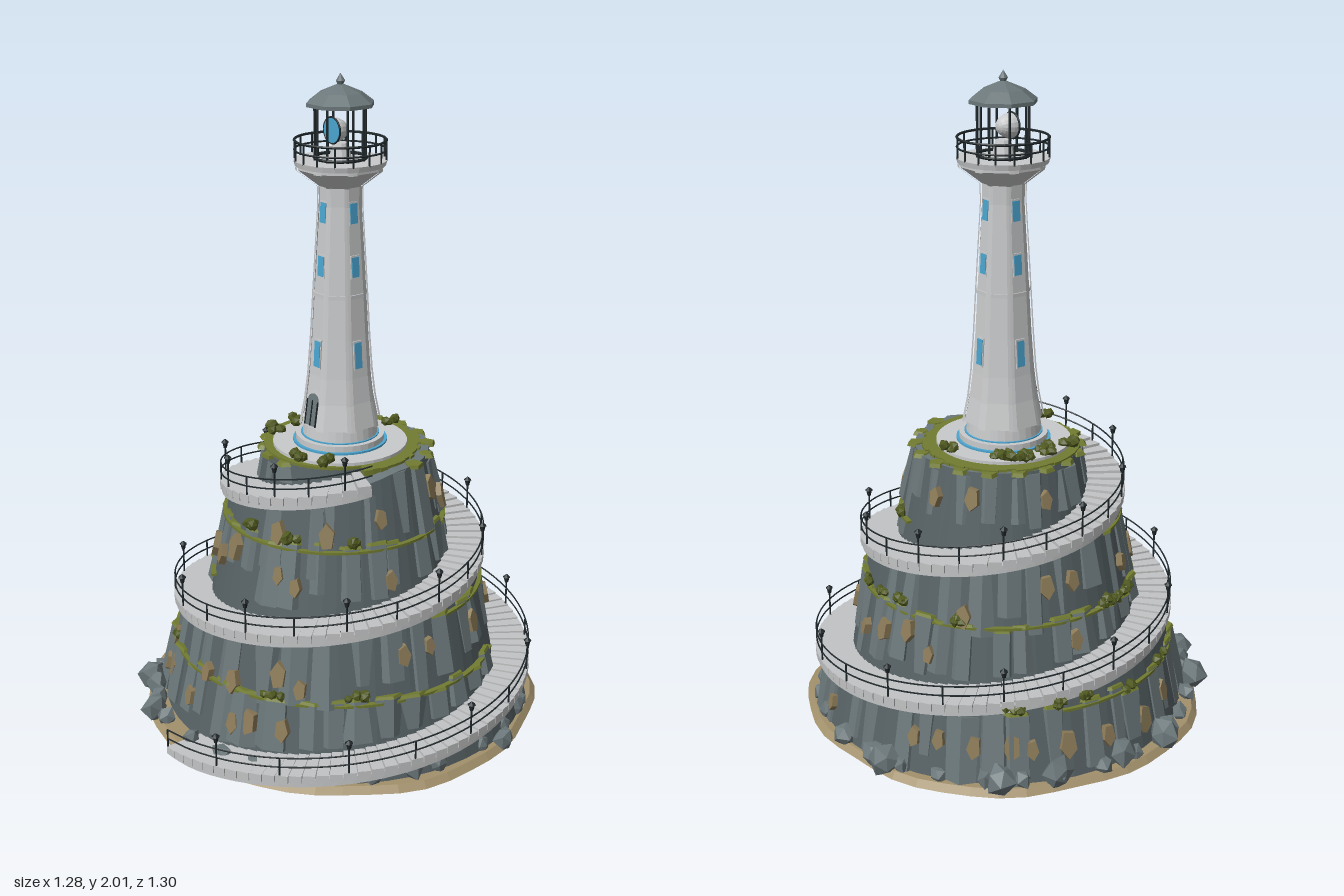
import * as THREE from 'three';
import { mergeGeometries } from 'three/addons/utils/BufferGeometryUtils.js';

const TAU = Math.PI * 2, END = 2.19, TOP = 0.86;
let seed = 7;
const rnd = (a = 0, b = 1) => {
  seed = (seed * 16807) % 2147483647;
  return a + (b - a) * seed / 2147483647;
};
const material = (name, color, side = THREE.FrontSide) => {
  const m = new THREE.MeshStandardMaterial({ color, side });
  m.name = name;
  return m;
};

// Spiral rule: t counts turns, starting at the front and going towards +x
const outer = t => 0.67 - 0.155 * t;
const inner = t => Math.min(0.6, outer(t) - 0.115);
const height = t => 0.03 + 0.375 * t;
const wall = (t, y) => inner(t) - 0.21 * (y - Math.max(0, height(t)));
const at = (t, r, y) => new THREE.Vector3(Math.sin(t * TAU) * r, y, Math.cos(t * TAU) * r);
const val = (f, t) => typeof f === 'function' ? f(t) : f;

// Box bent round the axis; radii and heights are numbers or functions of t
function slab(t0, t1, seg, r0, r1, y0, y1) {
  const g = new THREE.BoxGeometry(1, 1, 1, seg, 1, 1), p = g.attributes.position;
  for (let i = 0; i < p.count; i++) {
    const t = t0 + (t1 - t0) * (p.getX(i) + 0.5);
    const v = at(t, val(p.getZ(i) > 0 ? r1 : r0, t), val(p.getY(i) > 0 ? y1 : y0, t));
    p.setXYZ(i, v.x, v.y, v.z);
  }
  return g;
}
const move = (g, v) => g.translate(v.x, v.y, v.z);
const cyl = (rt, rb, h, n, y) => new THREE.CylinderGeometry(rt, rb, h, n).translate(0, y, 0);
const soup = list => new THREE.BufferGeometry().setAttribute('position', new THREE.Float32BufferAttribute(list, 3));

// Faceted lump with shared corners pushed in and out
function lump(r, squash = 1) {
  const g = new THREE.IcosahedronGeometry(r, 0), p = g.attributes.position, s = rnd(0, 9);
  for (let i = 0; i < p.count; i++) {
    const x = p.getX(i), y = p.getY(i), z = p.getZ(i);
    const k = 1 + 0.18 * Math.sin((x * 5 + y * 7 + z * 11) / r + s);
    p.setXYZ(i, x * k, y * k * squash, z * k);
  }
  return g.rotateY(s);
}

export function createModel() {
  seed = 7;
  const model = new THREE.Group(), island = new THREE.Group();
  island.name = 'lighthouseIsland';
  island.position.z = -0.025;
  model.add(island);

  const white = material('wall', 0xc9cacb, THREE.DoubleSide), stone = material('stair stone', 0xc2c3c4);
  const rock = material('rock', 0x6b777a), darkRock = material('dark rock', 0x576265, THREE.DoubleSide);
  const grass = material('grass', 0x727c30), bush = material('bush', 0x515a20);
  const tan = material('tan stone', 0x8c7b58), sand = material('sand', 0xa3916c);
  const iron = material('iron', 0x20282b), glass = material('blue glass', 0x4ba5d0);

  const add = (name, mat, ...geos) => {
    const g = mergeGeometries(geos.flat().map(q => {
      const n = q.index ? q.toNonIndexed() : q;
      n.deleteAttribute('uv');
      n.computeVertexNormals();
      n.clearGroups();
      return n;
    }));
    const mesh = new THREE.Mesh(g, mat);
    mesh.name = name;
    island.add(mesh);
  };

  // Sand base
  const base = new THREE.CylinderGeometry(0.615, 0.632, 0.02, 48).translate(0, 0.01, 0);
  const bp = base.attributes.position;
  for (let i = 0; i < bp.count; i++) {
    const a = Math.atan2(bp.getX(i), bp.getZ(i)), k = 1 + 0.012 * Math.sin(a * 5 + 1) + 0.008 * Math.sin(a * 11);
    bp.setX(i, bp.getX(i) * k);
    bp.setZ(i, bp.getZ(i) * k);
  }
  add('sandBase', sand, base);

  // Spiral cliff wall and its top
  const cliff = [], cap = [], N = 176;
  const tri = (list, ...pts) => pts.forEach(q => list.push(q.x, q.y, q.z));
  const edge = k => {
    const t = -1 + (END + 1) * k / N;
    const lo = Math.max(0, height(t) - 0.03), hi = Math.min(TOP, Math.max(lo, height(t + 1) - 0.01));
    return [at(t, inner(t), lo), at(t, wall(t, hi), hi), t];
  };
  for (let i = 0; i < N; i++) {
    const [a, d, t] = edge(i), [b, c] = edge(i + 1);
    tri(cliff, a, b, c, a, c, d);
    if (t > END - 1.02) tri(cap, new THREE.Vector3(0, TOP, 0), d, c);
  }
  add('cliffWall', darkRock, soup(cliff));
  add('cliffTop', rock, soup(cap));

  // Rock shards leaning on the cliff, grassy ledges, tan stone and ledge bushes
  const shards = [], turf = [], tans = [], bushes = [];
  [0.23, 0.44, 0.65, TOP].forEach((level, tier) => {
    const count = 36 - tier * 5;
    for (let i = 0; i < count; i++) {
      const th = (i + rnd(-0.3, 0.3)) / count;
      let t = th - 1;
      while (t + 1 < END && height(t + 1) < level - 0.07) t++;
      const roof = t + 1 < END ? height(t + 1) - 0.045 : TOP;
      const top = Math.min(level + (tier < 3 ? rnd(-0.02, 0.015) : -rnd(0, 0.025)), roof);
      const floor = Math.max(0, height(t) + 0.015);
      const h = Math.min(top - floor, rnd(0.12, 0.23));
      if (h < 0.04) continue;
      const w = rnd(0.042, 0.06) * (1 - tier * 0.07), turn = rnd(0, TAU);
      const place = (g, y, out) => move(g.scale(1, 1, 0.65).rotateX(-0.21).rotateY(t * TAU), at(t, wall(t, y) + out, y));
      shards.push(place(new THREE.CylinderGeometry(w * rnd(0.7, 0.95), w * rnd(0.5, 1.05), h, 5).rotateY(turn), top - h / 2, -0.012));
      if (tier < 3 && top < roof - 0.01) {
        turf.push(place(new THREE.CylinderGeometry(w * 0.8, w * 0.9, 0.009, 5).rotateY(turn), top + 0.004, -0.01));
        if (rnd() < 0.28) for (let k = 0; k < 4; k++)
          bushes.push(move(lump(rnd(0.013, 0.02)), at(t + rnd(-0.01, 0.01), wall(t, top) + 0.005, top + rnd(0.012, 0.028))));
      }
      // tan slabs set flush into the cliff face
      if (rnd() < 0.6) {
        const y = top - rnd(0.06, 0.13), s = rnd(0.018, 0.03), tt = t + rnd(0.25, 0.5) / count;
        if (y - s * 1.6 > floor) {
          const plate = new THREE.CylinderGeometry(s * 0.9, s, 0.04, 5).rotateX(Math.PI / 2).rotateZ(rnd(0, TAU));
          tans.push(move(plate.scale(1, 1.7, 1).rotateX(-0.21).rotateY(tt * TAU), at(tt, wall(tt, y) - 0.003, y)));
        }
      }
    }
    // continuous turf strips along each ledge
    if (tier < 3) for (let i = 0; i < 60; i++) {
      let t = i / 60 - 1;
      while (height(t + 1) < level - 0.07) t++;
      if (height(t + 1) - 0.06 > level)
        turf.push(slab(t, t + 1 / 60, 1, q => wall(q, level) - 0.02, q => wall(q, level) + 0.012, level - 0.008, level));
    }
  });
  add('rockShards', rock, shards);
  add('tanStones', tan, tans);

  // Boulders round the shore: large ones at set places, small ones between
  const boulders = [];
  for (const [x, z, s] of [[-0.2, -0.585, 0.045], [-0.15, -0.59, 0.04], [0, -0.6, 0.036], [-0.49, -0.37, 0.046], [-0.56, -0.21, 0.044],
    [-0.59, 0.01, 0.046], [-0.585, 0.177, 0.046], [-0.37, 0.487, 0.046], [-0.2, 0.585, 0.042], [0.605, -0.163, 0.034]])
    boulders.push(lump(s, 1.15).translate(x, s * 1.05, z));
  for (let i = 0; i < 30; i++) {
    const t = (i + rnd(-0.3, 0.3)) / 30, s = rnd(0.024, 0.036);
    boulders.push(move(lump(s, 1.2), at(t, t < 0.5 ? 0.585 : 0.595, s * 1.2)));
  }
  add('boulders', rock, boulders);

  // Plateau turf, paving and bushes
  for (let i = 0; i < 60; i++) {
    const t = END - 1 + i / 60, r = 0.247 + rnd(-0.008, 0.01);
    turf.push(slab(t, t + 1 / 60, 1, 0.19, q => Math.min(r, wall(q, TOP)), TOP - 0.01, TOP + 0.008));
  }
  for (let i = 0; i < 14; i++) {
    const t = END - 0.9 + i / 18;
    turf.push(move(cyl(rnd(0.018, 0.03), 0.03, 0.012, 5, 0).rotateY(rnd(0, TAU)), at(t, wall(t, TOP) - 0.004, TOP - 0.002)));
  }
  add('grass', grass, turf);
  for (const [x, z] of [[-0.01, -0.2], [-0.16, -0.11], [-0.135, -0.11], [-0.2, -0.05], [-0.2, 0.03], [-0.17, 0.03], [-0.175, 0.115], [0.055, 0.195], [0.13, 0.165], [-0.19, -0.07]])
    for (let k = 0; k < 4; k++)
      bushes.push(lump(rnd(0.013, 0.02)).translate(x + rnd(-0.018, 0.018), 0.88 + rnd(0, 0.018), z + rnd(-0.018, 0.018)));
  add('bushes', bush, bushes);
  add('paving', white, cyl(0.208, 0.208, 0.025, 40, 0.865));
  add('blueTrim', glass, cyl(0.146, 0.146, 0.006, 32, 0.881), cyl(0.121, 0.121, 0.005, 32, 0.903));
  add('plinth', white, cyl(0.137, 0.137, 0.02, 32, 0.892), cyl(0.112, 0.116, 0.04, 32, 0.922));

  // Spiral stair: treads of equal length on a ramp
  const steps = 165, treads = [];
  const along = k => (0.6125 - Math.sqrt(0.37516 - 0.31 * 0.9697 * k / steps)) / 0.155;
  for (let i = 0; i < steps; i++) {
    const t1 = along(i + 0.93), y = height(t1);
    treads.push(slab(along(i), t1, 1, q => inner(q) - 0.012, outer, Math.max(0.004, y - 0.024), y));
  }
  add('stairTreads', stone, treads);
  add('stairRamp', stone, slab(0, END, 200, q => inner(q) - 0.03, q => outer(q) - 0.006,
    q => Math.max(0.002, height(q) - 0.038), q => height(q) - 0.014));

  // Stair railing with lantern posts
  const rails = [0.03, 0.06].map(up => {
    const pts = Array.from({ length: 90 }, (_, i) => END * i / 89).map(t => at(t, outer(t) - 0.004, height(t) + up));
    return new THREE.TubeGeometry(new THREE.CatmullRomCurve3(pts), 260, 0.0025, 5);
  });
  const posts = [];
  for (let i = 0; i <= 43; i++) {
    const t = i * 0.05, p = at(t, outer(t) - 0.004, height(t)), lamp = i % 2 === 1;
    const h = lamp ? 0.085 : 0.06;
    posts.push(move(cyl(0.003, 0.003, h, 5, h / 2), p));
    if (lamp) posts.push(move(cyl(0.01, 0.006, 0.018, 6, 0.092), p), move(cyl(0.002, 0.013, 0.01, 6, 0.106), p));
  }
  add('stairRailing', iron, rails, posts);

  // Eight-sided tower with corner ribs
  const profile = [[0.122, 0.94], [0.106, 1.02], [0.096, 1.1], [0.087, 1.22], [0.079, 1.36], [0.063, 1.62], [0.064, 1.675], [0.128, 1.725], [0.128, 1.735]];
  const lathe = (pts, grow, n, from, len) => new THREE.LatheGeometry(pts.map(([r, y]) => new THREE.Vector2(r + grow, y)), n, from, len);
  add('tower', white, lathe(profile, 0, 8, Math.PI / 8, TAU), cyl(0.084, 0.084, 0.012, 8, 1.35).rotateY(Math.PI / 8));
  const ribs = [];
  for (let i = 0; i < 8; i++)
    ribs.push(lathe(profile, 0.006, 2, (i + 0.5) * TAU / 8 - 0.1, 0.2));
  add('towerRibs', white, ribs);

  // Windows on four sides, and the front door
  const windows = [], frames = [];
  for (let side = 0; side < 4; side++)
    for (const [y, r, h] of [[1.17, 0.0838, 0.08], [1.44, 0.0685, 0.06], [1.6, 0.0595, 0.06]]) {
      const place = (w, hh, d) => new THREE.BoxGeometry(w, hh, 0.008).rotateX(-0.06).translate(0, y, r + d).rotateY(side * TAU / 4);
      windows.push(place(0.026, h, 0.002));
      frames.push(place(0.032, h + 0.01, 0));
    }
  add('windows', glass, windows);
  add('windowFrames', white, frames);
  const arch = (w, h, d) => {
    const s = new THREE.Shape().moveTo(-w, 0).lineTo(w, 0).lineTo(w, h);
    s.absarc(0, h, w, 0, Math.PI).lineTo(-w, 0);
    return new THREE.ExtrudeGeometry(s, { depth: d, bevelEnabled: false, curveSegments: 8 }).rotateX(-0.15).translate(0, 0.945, 0.102);
  };
  add('doorFrame', white, arch(0.034, 0.078, 0.012));
  add('door', rock, arch(0.025, 0.076, 0.015));
  add('doorBars', iron, [-0.025, 0, 0.025].map(x =>
    new THREE.BoxGeometry(0.003, 0.08, 0.004).translate(x, 0.04, 0.016).rotateX(-0.15).translate(0, 0.945, 0.102)));

  // Gallery deck and railing
  add('gallery', white, cyl(0.138, 0.134, 0.016, 24, 1.743));
  const ring = (r, y, w) => new THREE.TorusGeometry(r, w, 5, 32).rotateX(Math.PI / 2).translate(0, y, 0);
  const bars = [ring(0.135, 1.78, 0.003), ring(0.135, 1.808, 0.004)];
  for (let i = 0; i < 16; i++) {
    bars.push(cyl(0.003, 0.003, 0.06, 5, 1.778).translate(0, 0, 0.135).rotateY(i * TAU / 16));
    if (i % 2) bars.push(cyl(0.004, 0.004, 0.165, 5, 1.832).translate(0, 0, 0.077).rotateY(i * TAU / 16));
  }
  add('galleryRailing', iron, bars, ring(0.077, 1.757, 0.005));

  // Lamp: domed housing with a thin blue lens facing the front
  const dome = new THREE.SphereGeometry(0.037, 16, 6, 0, TAU, 0, Math.PI / 2).rotateX(-Math.PI / 2).scale(1, 1, 1.4);
  add('lampHousing', white, cyl(0.022, 0.035, 0.05, 12, 1.775), dome.translate(0, 1.838, 0.03));
  add('lampRim', iron, new THREE.TorusGeometry(0.038, 0.003, 6, 24).translate(0, 1.838, 0.031));
  add('lampLens', glass, new THREE.CylinderGeometry(0.037, 0.037, 0.004, 24).rotateX(Math.PI / 2).translate(0, 1.838, 0.031));

  // Roof with finial
  add('roof', rock, lathe([[0, 1.9], [0.102, 1.906], [0.102, 1.917], [0.065, 1.945], [0.022, 1.963], [0.009, 1.968], [0.014, 1.978], [0, 2]], 0, 8, Math.PI / 8, TAU));
  return model;
}
